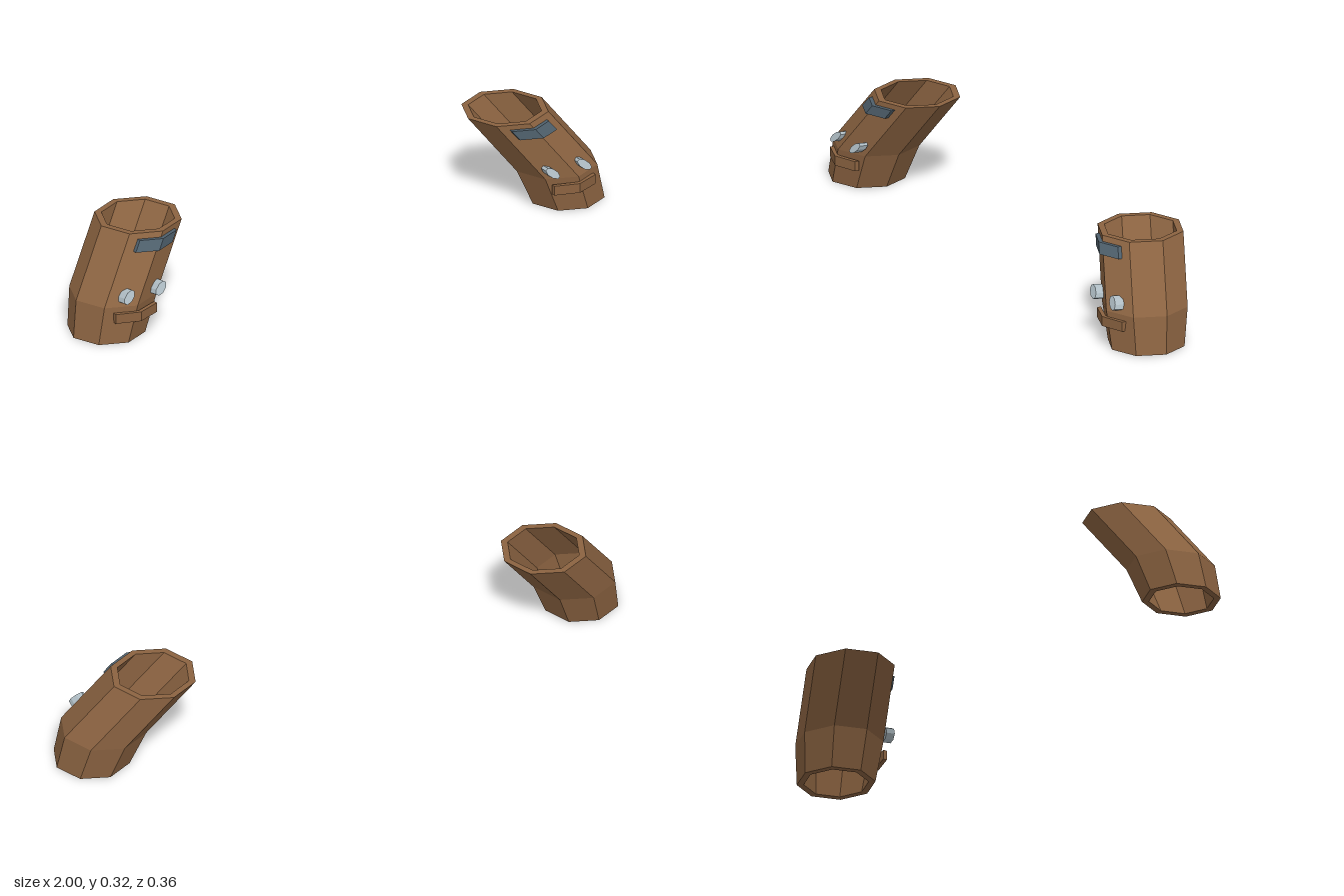
import * as THREE from 'three';

const mat = (color) => new THREE.MeshStandardMaterial({ color, flatShading: true });

// Octagonal hollow tube: each ring is [x, y, z, radius]; the last joins the first
function loft(rings, side, sides = 8) {
  const pos = [];
  const point = ([x, y, z, r], i) => {
    const a = (i / sides) * Math.PI * 2;
    return [side * x + r * Math.sin(a), y, z + r * Math.cos(a)];
  };
  rings.forEach((ring, k) => {
    const next = rings[(k + 1) % rings.length];
    for (let i = 0; i < sides; i++) {
      const a = point(ring, i), b = point(ring, i + 1);
      const c = point(next, i + 1), d = point(next, i);
      pos.push(...a, ...b, ...c, ...a, ...c, ...d);
    }
  });
  const geo = new THREE.BufferGeometry();
  geo.setAttribute('position', new THREE.Float32BufferAttribute(pos, 3));
  geo.computeVertexNormals();
  return geo;
}

// Lean a shape along the slope of the upper sleeve
function lean(geo, side) {
  const p = geo.attributes.position;
  for (let i = 0; i < p.count; i++) {
    const y = p.getY(i);
    p.setX(i, p.getX(i) - side * 0.73 * y);
    p.setZ(i, p.getZ(i) - 0.34 * y);
  }
  geo.computeVertexNormals();
  return geo;
}

// Shallow V-shaped bar wrapping the front edge, apex at z = 0
function veeBar(half, drop, depth, height) {
  const s = new THREE.Shape();
  s.moveTo(-half, drop);
  s.lineTo(0, 0);
  s.lineTo(half, drop);
  s.lineTo(half, drop + depth);
  s.lineTo(0, depth);
  s.lineTo(-half, drop + depth);
  s.closePath();
  const geo = new THREE.ExtrudeGeometry(s, { depth: height, bevelEnabled: false });
  geo.rotateX(-Math.PI / 2);
  geo.translate(0, -height / 2, 0);
  return geo;
}

function createCuff(side, mats) {
  const cuff = new THREE.Group();
  cuff.name = side > 0 ? 'leftCuff' : 'rightCuff';
  const add = (name, geo, material, x, y, z) => {
    const mesh = new THREE.Mesh(geo, material);
    mesh.name = name;
    mesh.position.set(side * x, y, z);
    cuff.add(mesh);
  };

  // Bent sleeve: outer wall going up, inner wall coming down
  const outer = [[0.874, 0, 0.042, 0.125], [0.839, 0.12, 0.027, 0.14], [0.698, 0.316, -0.04, 0.14]];
  const inner = outer.map(([x, y, z, r]) => [x, y, z, r - 0.022]).reverse();
  add('sleeve', loft([...outer, ...inner], side), mats.brown, 0, 0, 0);

  // Dark plate near the top rim
  add('topPlate', lean(veeBar(0.07, 0.029, 0.016, 0.032), side), mats.slate, 0.72, 0.284, 0.124);

  // Pair of faceted studs
  for (const dx of [-0.06, 0.06]) {
    const stud = new THREE.CylinderGeometry(0.019, 0.019, 0.032, 8).rotateX(Math.PI / 2);
    stud.rotateX(-0.12);
    add('stud', lean(stud, side), mats.silver, 0.807 + dx, 0.151, 0.146);
  }

  // Brown bar under the studs
  add('lowerBar', veeBar(0.078, 0.028, 0.014, 0.032), mats.brown, 0.835, 0.086, 0.181);
  return cuff;
}

export function createModel() {
  const model = new THREE.Group();
  model.name = 'cuffPair';
  const mats = { brown: mat(0x8b6341), slate: mat(0x4f606c), silver: mat(0xb0bec5) };
  for (const side of [1, -1]) model.add(createCuff(side, mats));
  return model;
}
